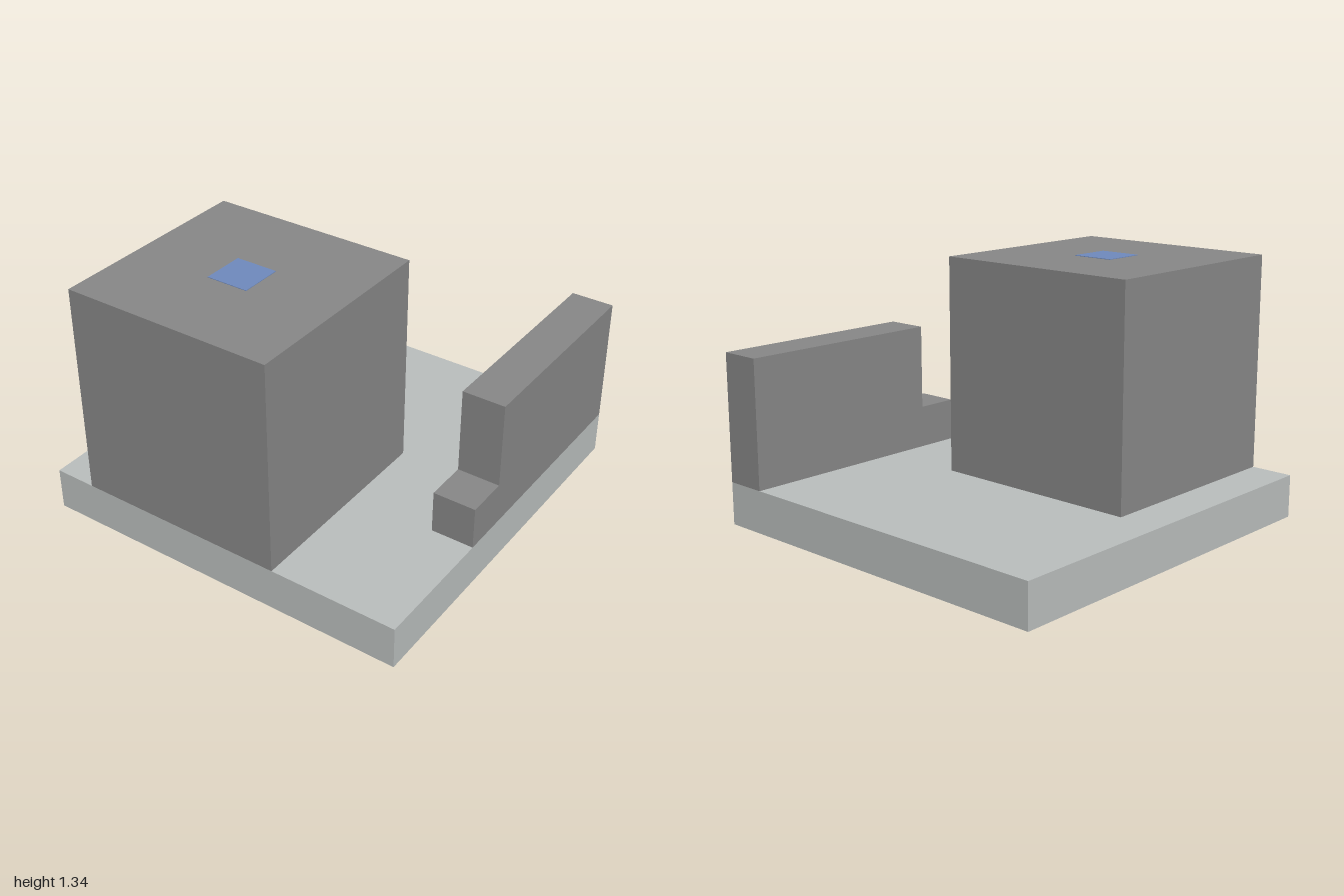
import * as THREE from 'three';

export function createModel() {
  const model = new THREE.Group();
  const U = 2 / 9; // grid unit: the base is 9 x 1 x 9 units

  const material = (name, color) => {
    const m = new THREE.MeshStandardMaterial({ color });
    m.name = name;
    return m;
  };
  const paleGrey = material('pale grey', 0xbabebd);
  const darkGrey = material('dark grey', 0x878787);
  const blue = material('blue', 0x6f8abd);

  const add = (name, geometry, mat, x, y, z) => {
    const mesh = new THREE.Mesh(geometry, mat);
    mesh.name = name;
    mesh.position.set(x, y, z);
    model.add(mesh);
  };

  // Flat square base
  add('base', new THREE.BoxGeometry(9 * U, U, 9 * U), paleGrey, 0, U / 2, 0);

  // Large block, flush with the front edge
  add('block', new THREE.BoxGeometry(5 * U, 5 * U, 5 * U), darkGrey, -U, 3.5 * U, 2 * U);

  // Small painted square on top of the block
  add('topMarker', new THREE.BoxGeometry(U, 0.004, U), blue, -U, 6 * U + 0.001, 2 * U);

  // Stepped wall along the left edge: side profile (z, y) extruded across x
  const profile = new THREE.Shape(
    [[-4.5, 1], [1.5, 1], [1.5, 2], [0.5, 2], [0.5, 4], [-4.5, 4]]
      .map(([z, y]) => new THREE.Vector2(-z * U, y * U))
  );
  const wall = new THREE.ExtrudeGeometry(profile, { depth: U, bevelEnabled: false });
  wall.rotateY(Math.PI / 2); // profile x becomes -z, depth becomes +x
  add('steppedWall', wall, darkGrey, 3.5 * U, 0, 0);

  return model;
}
